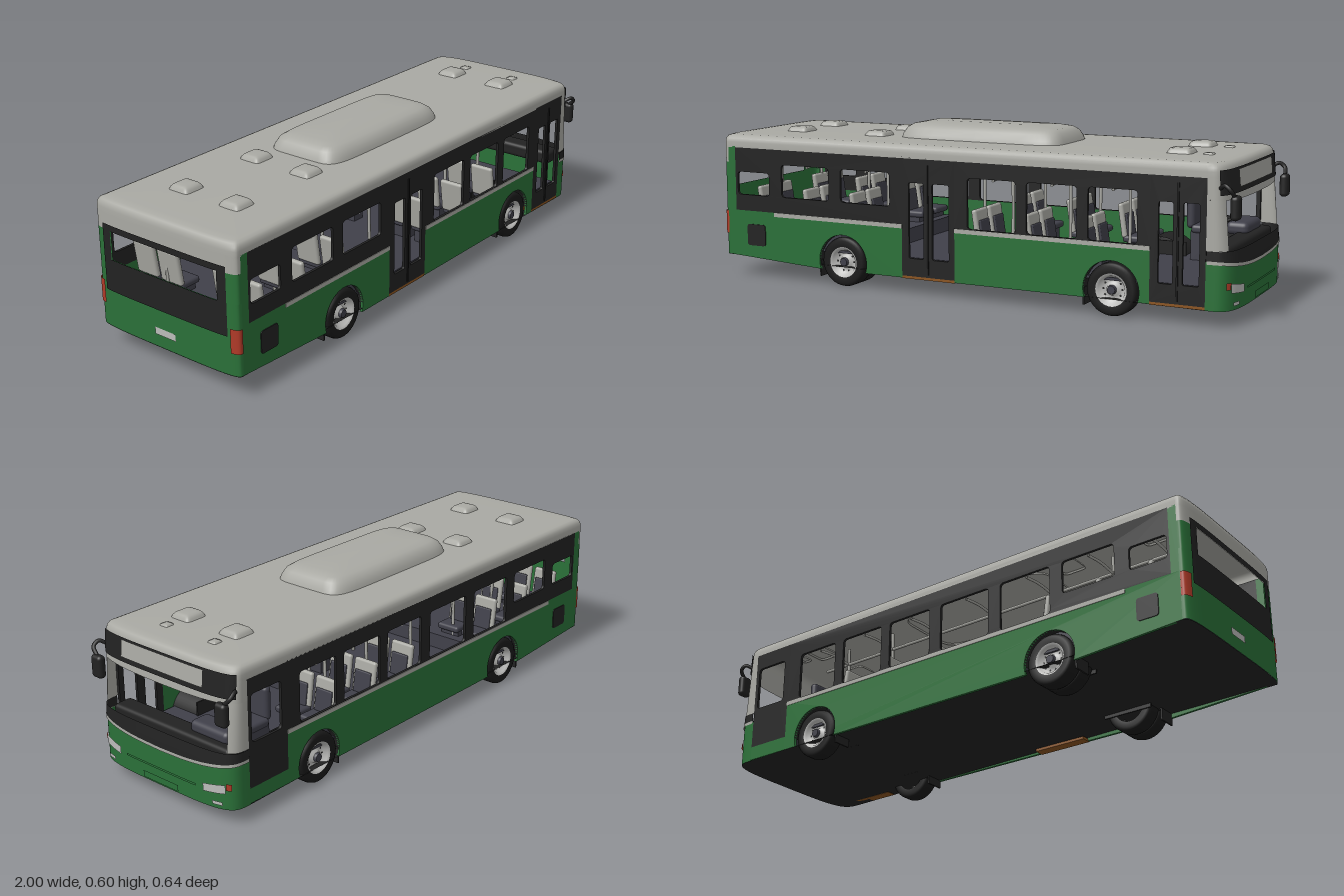
import * as THREE from 'three';
import { RoundedBoxGeometry } from 'three/addons/geometries/RoundedBoxGeometry.js';

const W = 0.306; // half width of the body

function paint(name, color) {
  const m = new THREE.MeshStandardMaterial({ color, side: THREE.DoubleSide });
  m.name = name;
  return m;
}

export function createModel() {
  const grey = paint('roof grey', 0xa9a9a3), green = paint('body green', 0x2a7038);
  const black = paint('trim black', 0x222222), tyreMat = paint('rubber black', 0x191919);
  const seatMat = paint('seat dark grey', 0x40404a), silver = paint('lamp silver', 0xbcbcba);
  const red = paint('lamp red', 0xb03a28), brown = paint('step brown', 0x8a5420);
  const bus = new THREE.Group();
  bus.name = 'bus';

  const add = (name, geo, mat, x = 0, y = 0, z = 0, parent = bus) => {
    const m = new THREE.Mesh(geo, mat);
    m.name = name;
    m.position.set(x, y, z);
    parent.add(m);
    return m;
  };
  const box = (name, w, h, d, mat, x, y, z, r = 0) =>
    add(name, r ? new RoundedBoxGeometry(w, h, d, 3, r) : new THREE.BoxGeometry(w, h, d), mat, x, y, z);
  const rod = (name, points, r, mat) =>
    add(name, new THREE.TubeGeometry(new THREE.CatmullRomCurve3(points.map(p => new THREE.Vector3(...p))), 16, r, 8), mat);

  // Skin through rows of points, optionally closed by a fan on the last row
  const skin = (rows, { closed = false, cap = false, flip = false } = {}) => {
    const n = rows[0].length, pos = rows.flat(2), idx = [];
    const tri = (a, b, c) => idx.push(...(flip ? [a, c, b] : [a, b, c]));
    for (let j = 0; j < rows.length - 1; j++) for (let i = 0; i < (closed ? n : n - 1); i++) {
      const a = j * n + i, b = j * n + (i + 1) % n;
      tri(a, a + n, b);
      tri(a + n, b + n, b);
    }
    if (cap) {
      const top = rows.at(-1), k = (rows.length - 1) * n;
      pos.push(...[0, 1, 2].map(c => top.reduce((s, p) => s + p[c], 0) / n));
      for (let i = 0; i < n; i++) tri(k + i, rows.length * n, k + (i + 1) % n);
    }
    const g = new THREE.BufferGeometry();
    g.setAttribute('position', new THREE.Float32BufferAttribute(pos, 3));
    g.setIndex(idx);
    g.computeVertexNormals();
    return g;
  };

  // Curved nose (dir 1) and tail (dir -1): x for a given z and y
  const endX = (dir, z, y) => {
    const k = Math.min(1, Math.abs(z) / W), round = (1 - k ** 4) ** 0.25;
    const lean = 0.035 * THREE.MathUtils.clamp((y - 0.2) / 0.33, 0, 1);
    return dir > 0 ? 0.895 + (0.095 - lean) * round : -0.97 - 0.03 * round;
  };
  const toS = z => Math.sign(z) * Math.asin(Math.min(1, (z / W) ** 2));
  const toZ = s => Math.sign(s) * W * Math.sqrt(Math.abs(Math.sin(s)));
  const endPanel = (name, dir, z0, z1, y0, y1, mat, off = 0) => {
    const f = v => (typeof v === 'function' ? v : () => v), rows = [];
    for (let j = 0; j <= 5; j++) {
      rows.push(Array.from({ length: 33 }, (_, i) => {
        const z = toZ(THREE.MathUtils.lerp(toS(z0), toS(z1), i / 32));
        const y = THREE.MathUtils.lerp(f(y0)(z), f(y1)(z), j / 5);
        return [endX(dir, z, y) + dir * off, y, z * (1 + off / W)];
      }));
    }
    return add(name, skin(rows, { flip: dir < 0 }), mat);
  };
  // Outline of the whole body seen from above
  const plan = (y, inset = 0, yRear = y) => [1, -1].flatMap(dir => Array.from({ length: 33 }, (_, i) => {
    const z = toZ(dir * (i / 32 - 0.5) * Math.PI);
    return [endX(dir, z, y) * (1 - inset), dir > 0 ? y : yRear, z * (1 - inset / W)];
  }));

  // Roof, floor and underside
  add('roof', skin([plan(0.485), plan(0.505), plan(0.518, 0.002), plan(0.528, 0.008), plan(0.533, 0.02),
    plan(0.535, 0.045), plan(0.537, 0.15)], { closed: true, cap: true }), grey);
  add('underside', skin([plan(0.055, 0, 0.079)], { closed: true, cap: true, flip: true }), black);
  box('floor', 1.84, 0.01, 0.58, seatMat, -0.04, 0.125, 0);

  // Soft roof boxes from rounded rectangles [y, half length, half width]
  const dome = (name, x, z, levels) => add(name, skin(levels.map(([y, a, b]) => Array.from({ length: 48 }, (_, i) => {
    const t = (i / 48) * Math.PI * 2, p = v => Math.sign(v) * Math.abs(v) ** 0.3;
    return [a * p(Math.cos(t)), y, b * p(Math.sin(t))];
  })), { closed: true, cap: true }), grey, x, 0, z);
  dome('airConditioner', -0.018, 0, [[0.53, 0.322, 0.155], [0.55, 0.316, 0.15], [0.572, 0.303, 0.138],
    [0.585, 0.285, 0.118], [0.591, 0.25, 0.09], [0.595, 0.17, 0.04]]);
  for (const z of [-0.11, 0.11]) {
    for (const x of [-0.77, -0.43, 0.74]) {
      dome('roofHatch', x, z, [[0.53, 0.046, 0.046], [0.545, 0.04, 0.04], [0.553, 0.034, 0.032], [0.555, 0.022, 0.02]]);
    }
    dome('roofVent', 0.835, z, [[0.53, 0.02, 0.02], [0.54, 0.016, 0.016], [0.542, 0.008, 0.008]]);
  }

  // Side walls
  const wall = (name, shape, side, mat, depth = 0.01, off = 0) =>
    add(name, new THREE.ExtrudeGeometry(shape, { depth, bevelEnabled: false, curveSegments: 20 }), mat,
      0, 0, side > 0 ? W - depth + off : -W - off);
  const rect = (x0, x1, y0, y1, r = 0.001, S = THREE.Shape) => {
    const s = new S();
    s.moveTo(x0 + r, y0);
    s.lineTo(x1 - r, y0); s.quadraticCurveTo(x1, y0, x1, y0 + r);
    s.lineTo(x1, y1 - r); s.quadraticCurveTo(x1, y1, x1 - r, y1);
    s.lineTo(x0 + r, y1); s.quadraticCurveTo(x0, y1, x0, y1 - r);
    s.lineTo(x0, y0 + r); s.quadraticCurveTo(x0, y0, x0 + r, y0);
    return s;
  };
  const pane = (x0, x1, y0, y1, r = 0.015) => rect(x0, x1, y0, y1, r, THREE.Path);
  const plate = (name, side, x0, x1, y0, y1, holes, mat = black) => {
    const s = rect(x0, x1, y0, y1);
    s.holes.push(...holes);
    return wall(name, s, side, mat);
  };
  const hem = x => 0.058 + 0.022 * Math.max(0, (-0.5 - x) / 0.47);
  const skirt = (side, x0, x1, arches) => {
    const s = new THREE.Shape();
    s.moveTo(x0, hem(x0));
    for (const c of arches) {
      s.lineTo(c - 0.0947, hem(c));
      s.absarc(c, 0.09, 0.1, Math.PI + 0.326, -0.326, true);
    }
    s.lineTo(x1, hem(x1)); s.lineTo(x1, 0.25); s.lineTo(x0, 0.25);
    wall('lowerSide', s, side, green);
  };
  const rearPanes = low => [pane(-0.93, -0.79, 0.31, 0.395), pane(-0.735, -0.53, 0.31, 0.43), pane(-0.48, -0.275, low, 0.43)];
  const midPanes = () => [pane(0.035, 0.22, 0.252, 0.43), pane(0.26, 0.445, 0.252, 0.43), pane(0.485, 0.66, 0.252, 0.43)];

  skirt(1, -0.97, -0.225, [-0.473]);
  skirt(1, -0.015, 0.705, [0.57]);
  plate('windowBandRear', 1, -0.94, -0.225, 0.25, 0.49, rearPanes(0.31));
  plate('windowBandMiddle', 1, -0.015, 0.705, 0.25, 0.49, midPanes());
  for (const [x0, x1] of [[-0.225, -0.015], [0.705, 0.895]]) {
    const m = (x0 + x1) / 2;
    plate('door', 1, x0, x1, 0.066, 0.49, [pane(x0 + 0.028, m - 0.017, 0.13, 0.4, 0.008), pane(m + 0.017, x1 - 0.022, 0.13, 0.4, 0.008)]);
    box('doorStep', x1 - x0, 0.01, 0.04, brown, m, 0.061, 0.285);
    box('doorSplit', 0.006, 0.39, 0.004, tyreMat, m, 0.27, W + 0.002);
  }
  skirt(-1, -0.97, 0.72, [-0.473, 0.57]);
  plate('windowBand', -1, -0.94, 0.72, 0.25, 0.49, [...rearPanes(0.252), pane(-0.225, -0.015, 0.252, 0.43), ...midPanes()]);
  plate('driverDoor', -1, 0.72, 0.895, 0.11, 0.49, [pane(0.745, 0.88, 0.265, 0.43)]);
  plate('driverSill', -1, 0.72, 0.895, 0.058, 0.11, [], green);
  for (const side of [1, -1]) {
    plate('rearPillar', side, -0.97, -0.94, 0.25, 0.49, [], green);
    wall('sideVent', rect(-0.89, -0.81, 0.12, 0.2, 0.012), side, black, 0.004, 0.003);
    const runs = side > 0 ? [[-0.77, -0.225], [-0.015, 0.705]] : [[-0.77, 0.72]];
    for (const [a, b] of runs) wall('sideStripe', rect(a, b, 0.235, 0.25), side, grey, 0.004, 0.002);
  }

  // Front end
  const bow = base => z => base + 0.025 * (z / W) ** 2;
  endPanel('frontBumper', 1, -W, W, 0.055, bow(0.19), green);
  endPanel('frontStripe', 1, -W, W, bow(0.182), bow(0.193), grey, 0.003);
  endPanel('windscreenBase', 1, -W, W, bow(0.19), 0.25, black, 0.002);
  endPanel('frontHeader', 1, -W, W, z => 0.415 - 0.01 * (1 - (z / W) ** 2), 0.49, grey);
  endPanel('displaySurround', 1, -0.298, 0.298, 0.43, 0.511, black, 0.003);
  endPanel('displayPanel', 1, -0.18, 0.186, 0.447, 0.505, grey, 0.006);
  endPanel('bumperLip', 1, -0.16, 0.16, 0.112, 0.12, green, 0.004);
  endPanel('bumperGrille', 1, -0.08, 0.08, 0.062, 0.085, green, 0.004);
  for (const s of [1, -1]) {
    const strip = (name, a, b, y0, y1, mat, off) => endPanel(name, 1, s > 0 ? a : -b, s > 0 ? b : -a, y0, y1, mat, off);
    strip('windscreenPillar', 0.278, W, 0.25, 0.415, grey, 0);
    strip('headlight', 0.19, 0.272, z => 0.105 + 0.1 * (Math.abs(z) - 0.19), z => 0.132 + 0.15 * (Math.abs(z) - 0.19), silver, 0.004);
    strip('indicator', 0.274, 0.29, 0.125, 0.148, red, 0.004);
    strip('fogLight', 0.225, 0.262, 0.07, 0.082, silver, 0.004);
    // Door mirrors on curved arms
    box('mirror', 0.03, 0.08, 0.048, black, 0.984, 0.392, s * 0.284, 0.013);
    rod('mirrorArm', [[0.93, 0.45, s * 0.29], [0.955, 0.465, s * 0.312], [0.975, 0.45, s * 0.314], [0.982, 0.425, s * 0.29]], 0.007, black);
  }

  // Rear end
  endPanel('rearLower', -1, -W, W, 0.08, 0.33, green);
  endPanel('rearUpper', -1, -W, W, 0.43, 0.49, grey);
  endPanel('rearTrimLower', -1, -0.265, 0.265, 0.215, 0.33, black, 0.003);
  endPanel('rearTrimUpper', -1, -0.265, 0.265, 0.43, 0.452, black, 0.003);
  endPanel('numberPlate', -1, -0.045, 0.045, 0.125, 0.15, silver, 0.003);
  for (const s of [1, -1]) {
    const strip = (name, a, b, y0, y1, mat, off) => endPanel(name, -1, s > 0 ? a : -b, s > 0 ? b : -a, y0, y1, mat, off);
    strip('rearCorner', 0.23, W, 0.33, 0.43, green, 0);
    strip('rearTrimSide', 0.23, 0.265, 0.33, 0.43, black, 0.003);
    strip('tailLight', 0.275, W, 0.16, 0.245, red, 0.003);
  }

  // Wheels with liners and mud flaps, doubled at the rear
  const tyreGeo = new THREE.LatheGeometry([[0.056, -0.03], [0.078, -0.032], [0.087, -0.027], [0.09, -0.018], [0.09, 0.018],
    [0.087, 0.027], [0.078, 0.032], [0.056, 0.03]].map(p => new THREE.Vector2(...p)), 40).rotateX(Math.PI / 2);
  const rimGeo = new THREE.LatheGeometry([[0, 0.02], [0.02, 0.02], [0.024, 0.008], [0.04, 0.01], [0.048, 0.026], [0.058, 0.03]]
    .map(p => new THREE.Vector2(...p)), 32).rotateX(Math.PI / 2);
  for (const s of [1, -1]) for (const x of [-0.473, 0.57]) {
    const wheel = new THREE.Group();
    wheel.name = 'wheel';
    wheel.position.set(x, 0.09, s * 0.273);
    wheel.rotation.y = s > 0 ? 0 : Math.PI;
    bus.add(wheel);
    add('tyre', tyreGeo, tyreMat, 0, 0, 0, wheel);
    add('rim', rimGeo, silver, 0, 0, 0, wheel);
    add('hub', new THREE.CylinderGeometry(0.014, 0.018, 0.016, 20).rotateX(Math.PI / 2), seatMat, 0, 0, 0.022, wheel);
    for (let i = 0; i < 10; i++) {
      const a = (i / 10) * Math.PI * 2;
      add('wheelHole', new THREE.CircleGeometry(0.004, 8), black, 0.034 * Math.cos(a), 0.034 * Math.sin(a), 0.0115, wheel);
    }
    if (x < 0) add('innerTyre', tyreGeo, tyreMat, 0, 0, -0.062, wheel);
    add('wheelLiner', new THREE.CylinderGeometry(0.1, 0.1, 0.13, 32, 1, true, -Math.PI / 2, Math.PI)
      .rotateX(-Math.PI / 2), black, x, 0.09, s * 0.24);
    box('linerWall', 0.19, 0.12, 0.006, black, x, 0.12, s * 0.172);
    box('mudFlap', 0.006, 0.06, 0.07, black, x - 0.1, 0.06, s * 0.265);
  }

  // Passenger seats, the rear rows raised
  const seat = (x, y, z, mat = grey) => {
    box('seatBase', 0.05, 0.06, 0.08, seatMat, x, y - 0.03, z);
    box('seatCushion', 0.085, 0.025, 0.095, seatMat, x, y, z, 0.01);
    const back = box('seatBack', 0.02, 0.125, 0.095, mat, x - 0.045, y + 0.065, z, 0.009);
    back.rotation.z = 0.15;
    box('seatPad', 0.01, 0.08, 0.07, seatMat, x - 0.03, y + 0.05, z, 0.004).rotation.z = 0.15;
  };
  for (const s of [1, -1]) for (const z of [0.125, 0.235]) {
    for (const x of [0.5, 0.3, 0.1]) seat(x, 0.19, s * z);
    for (const x of [-0.4, -0.6, -0.8]) seat(x, 0.215, s * z);
  }
  box('rearPlatform', 0.62, 0.06, 0.57, seatMat, -0.65, 0.155, 0);

  // Grab rails and poles
  for (const s of [1, -1]) {
    rod('grabRail', [[-0.9, 0.425, s * 0.14], [0, 0.425, s * 0.14], [0.68, 0.425, s * 0.14]], 0.006, grey);
    for (const x of [-0.85, -0.63, -0.38, -0.12, 0.13, 0.35, 0.57]) {
      rod('pole', [[x, 0.13, s * 0.14], [x, 0.3, s * 0.135], [x, 0.49, s * 0.14]], 0.006, grey);
      rod('railBracket', [[x, 0.425, s * 0.14], [x, 0.432, s * 0.22], [x, 0.425, s * 0.296]], 0.005, grey);
    }
  }

  // Driver's place
  box('dashboard', 0.075, 0.055, 0.54, black, 0.91, 0.222, 0, 0.015);
  box('instrumentHood', 0.08, 0.045, 0.17, seatMat, 0.88, 0.262, -0.15, 0.018);
  box('driverSeatBase', 0.09, 0.11, 0.09, seatMat, 0.745, 0.18, -0.16);
  box('driverCushion', 0.1, 0.03, 0.1, seatMat, 0.75, 0.24, -0.16, 0.012);
  box('driverBack', 0.03, 0.12, 0.085, seatMat, 0.695, 0.3, -0.16, 0.014);
  add('steeringWheel', new THREE.TorusGeometry(0.04, 0.005, 8, 28).rotateX(Math.PI / 2), black, 0.825, 0.275, -0.16).rotation.z = 0.5;

  return bus;
}
